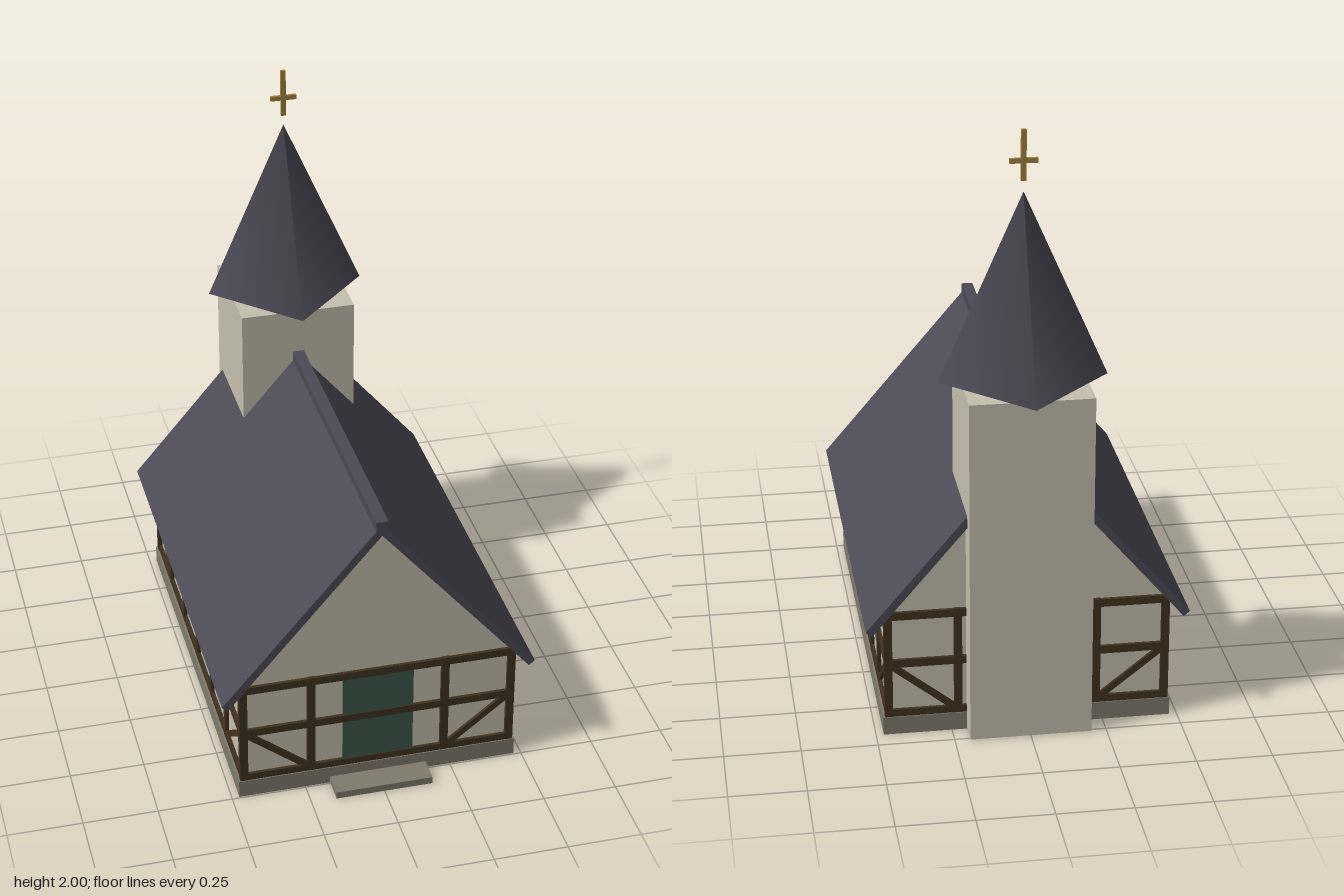
import * as THREE from 'three';

const mat = (name, color) => Object.assign(new THREE.MeshStandardMaterial({ color }), { name });
const plaster = mat('plaster', 0xc6c0af);
const timber = mat('timber', 0x41321f);
const slate = mat('slate', 0x4b4a55);
const stone = mat('stone', 0x807a6c);
const doorGreen = mat('doorGreen', 0x3b584a);
const glass = mat('glass', 0x506b8e);
const gold = mat('gold', 0xa4823f);

const CZ = 0.03;      // centre of the nave along z
const HW = 0.456;     // half width of the walls
const HL = 0.70;      // half length of the walls
const BEAM = 0.027;

function add(parent, name, geometry, material, x = 0, y = 0, z = 0) {
  const mesh = new THREE.Mesh(geometry, material);
  mesh.name = name;
  mesh.position.set(x, y, z);
  parent.add(mesh);
  return mesh;
}

function box(parent, name, material, w, h, d, x, y, z) {
  return add(parent, name, new THREE.BoxGeometry(w, h, d), material, x, y, z);
}

// Extrudes a mirrored x-y outline from z0 to z1
function gablePrism(parent, name, material, points, z0, z1) {
  const shape = new THREE.Shape(points.map(([x, y]) => new THREE.Vector2(x, y)));
  const geometry = new THREE.ExtrudeGeometry(shape, { depth: z1 - z0, bevelEnabled: false });
  return add(parent, name, geometry, material, 0, 0, z0);
}

// One timber-framed wall: local x runs along the wall, local z points outward
function timberFrame(name, posts) {
  const frame = new THREE.Group();
  frame.name = name;
  const depth = 0.024;
  const end = posts[posts.length - 1];
  for (const x of posts) box(frame, 'post', timber, BEAM, 0.38, depth, x, 0.25, 0);
  for (const y of [0.073, 0.254, 0.425]) {
    box(frame, 'rail', timber, end * 2 + BEAM, BEAM, depth - 0.001, 0, y, 0);
  }
  // Diagonal braces in the outer lower bays
  const inner = posts[posts.length - 2];
  const dx = end - inner - BEAM, dy = 0.16;
  for (const s of [-1, 1]) {
    const brace = box(frame, 'brace', timber, Math.hypot(dx, dy) + 0.01, 0.022, depth - 0.003,
      s * (end + inner) / 2, 0.163, 0);
    brace.rotation.z = s * Math.atan2(dy, dx);
  }
  return frame;
}

export function createModel() {
  const church = new THREE.Group();
  church.name = 'church';

  // Plinth and doorstep
  box(church, 'plinth', stone, 0.95, 0.062, 1.43, 0, 0.031, CZ);
  box(church, 'doorstep', stone, 0.33, 0.025, 0.09, 0, 0.0125, 0.787);

  // Nave walls with gables
  gablePrism(church, 'naveWalls', plaster,
    [[-HW, 0.05], [HW, 0.05], [HW, 0.443], [0, 0.982], [-HW, 0.443]], CZ - HL, CZ + HL);

  // Roof slabs and ridge cap
  gablePrism(church, 'roof', slate,
    [[0, 1.012], [-0.53, 0.39], [-0.51, 0.373], [0, 0.972], [0.51, 0.373], [0.53, 0.39]], -0.71, 0.76);
  box(church, 'ridgeCap', slate, 0.04, 0.036, 1.47, 0, 1.005, 0.025);

  // Front and back timber frames
  const gablePosts = [-0.456, -0.228, 0.228, 0.456];
  for (const s of [1, -1]) {
    const frame = timberFrame(s > 0 ? 'frontFrame' : 'backFrame', gablePosts);
    frame.position.z = CZ + s * HL;
    if (s < 0) frame.rotation.y = Math.PI;
    church.add(frame);
  }

  // Side timber frames and windows
  const sidePosts = Array.from({ length: 7 }, (_, i) => (i - 3) * 0.2328);
  for (const s of [1, -1]) {
    const frame = timberFrame(s > 0 ? 'leftFrame' : 'rightFrame', sidePosts);
    frame.position.set(s * HW, 0, CZ);
    frame.rotation.y = s * Math.PI / 2;
    church.add(frame);
    for (const z of [0.397, 0.03, -0.337]) {
      box(church, 'window', glass, 0.009, 0.22, 0.112, s * (HW + 0.002), 0.28, z);
    }
  }

  // Door
  box(church, 'door', doorGreen, 0.24, 0.35, 0.009, 0, 0.24, CZ + HL + 0.003);

  // Tower and four-sided spire with soft shading
  box(church, 'tower', plaster, 0.4, 1.178, 0.404, 0, 0.591, -0.56);
  add(church, 'spire', new THREE.ConeGeometry(0.273, 0.62, 4), slate, 0, 1.49, -0.56);

  // Cross floating above the spire
  box(church, 'crossUpright', gold, 0.017, 0.165, 0.011, 0, 1.9175, -0.56);
  box(church, 'crossArm', gold, 0.09, 0.016, 0.011, 0, 1.9, -0.56);

  return church;
}
